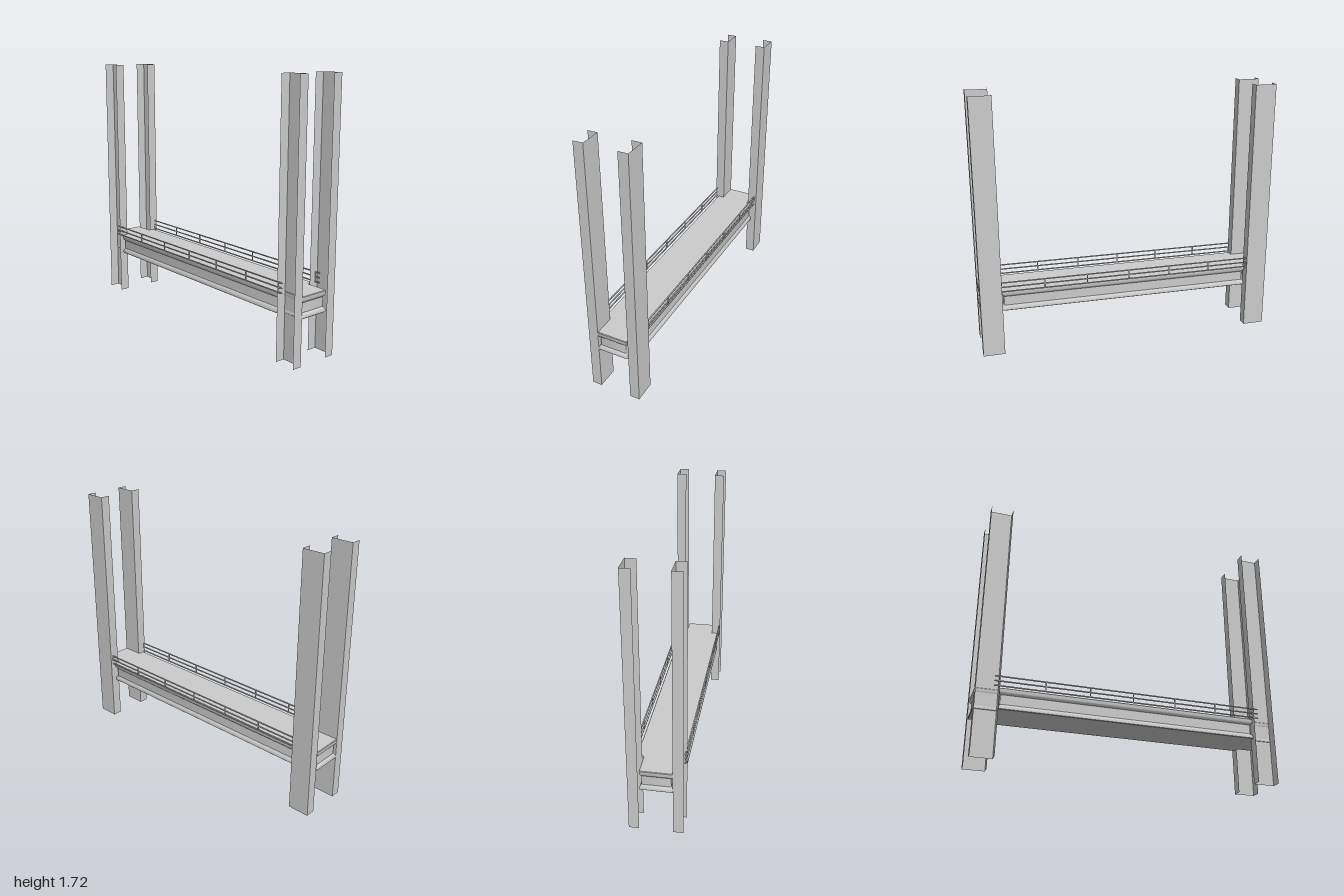
import * as THREE from 'three';
import { toCreasedNormals } from 'three/addons/utils/BufferGeometryUtils.js';

const grey = new THREE.MeshStandardMaterial({ color: 0xcccccc });
const sheet = new THREE.MeshStandardMaterial({ color: 0xcccccc, side: THREE.DoubleSide });

function addMesh(parent, name, geometry, material, x = 0, y = 0, z = 0) {
  const mesh = new THREE.Mesh(geometry, material);
  mesh.name = name;
  mesh.position.set(x, y, z);
  parent.add(mesh);
}

// Plan outline of the deck: wide body with a narrower tongue at each end
function deckOutline(inset) {
  const wide = 0.145 - inset, narrow = 0.103 - inset;
  const step = 0.855 - inset, end = 1 - inset;
  const quarter = [];
  const corner = (x, z, r) => {
    for (let i = 0; i <= 3; i++) {
      const a = (i / 3) * Math.PI / 2;
      quarter.push([x - r + r * Math.cos(a), z - r + r * Math.sin(a)]);
    }
  };
  corner(wide, step, 0.012);
  quarter.push([narrow, step]);
  corner(narrow, end, 0.005);
  const flipped = quarter.slice().reverse();
  return [
    ...quarter,
    ...flipped.map(([x, z]) => [-x, z]),
    ...quarter.map(([x, z]) => [-x, -z]),
    ...flipped.map(([x, z]) => [x, -z]),
  ].map(([x, z]) => new THREE.Vector2(x, z));
}

// Stack outlines at [height, inset] levels, then cap both ends
function deckGeometry(levels) {
  const loops = levels.map(([, inset]) => deckOutline(inset));
  const n = loops[0].length, positions = [], index = [];
  loops.forEach((loop, k) => loop.forEach((p) => positions.push(p.x, levels[k][0], p.y)));
  for (let k = 0; k < loops.length - 1; k++) {
    for (let i = 0; i < n; i++) {
      const a = k * n + i, b = k * n + (i + 1) % n;
      index.push(a, a + n, b, b, a + n, b + n);
    }
  }
  const top = (loops.length - 1) * n;
  for (const [a, b, c] of THREE.ShapeUtils.triangulateShape(loops[0], [])) {
    index.push(a, b, c);
  }
  for (const [a, b, c] of THREE.ShapeUtils.triangulateShape(loops[loops.length - 1], [])) {
    index.push(top + a, top + c, top + b);
  }
  const geometry = new THREE.BufferGeometry();
  geometry.setAttribute('position', new THREE.Float32BufferAttribute(positions, 3));
  geometry.setIndex(index);
  return toCreasedNormals(geometry, 0.6);
}

export function createModel() {
  const model = new THREE.Group();
  model.name = 'liftBeam';

  // Four thin channel columns, all open towards the right
  const H = 1.72, flange = 0.065, depth = 0.143;
  for (const x of [-0.107, 0.17]) {
    for (const z of [-0.9285, 0.9285]) {
      const column = new THREE.Group();
      column.name = 'channelColumn';
      column.position.set(x, H / 2, z);
      addMesh(column, 'columnWeb', new THREE.PlaneGeometry(depth, H).rotateY(Math.PI / 2), sheet);
      for (const s of [-1, 1]) {
        addMesh(column, 'columnFlange', new THREE.PlaneGeometry(flange, H), sheet,
          -flange / 2, 0, s * depth / 2);
      }
      model.add(column);
    }
  }

  // Crossbeam with lips above and below a shallow recessed side
  const levels = [
    [0.298, 0.003], [0.301, 0], [0.313, 0], [0.322, 0.003], [0.333, 0.012],
    [0.395, 0.012], [0.405, 0.003], [0.412, 0], [0.432, 0], [0.436, 0.003],
  ];
  addMesh(model, 'crossbeam', deckGeometry(levels), grey, -0.006);

  // Three-bar guard rails along both long sides
  const t = 0.008;
  for (const x of [-0.165, 0.153]) {
    const rail = new THREE.Group();
    rail.name = 'guardRail';
    rail.position.x = x;
    for (const y of [0.441, 0.472, 0.503]) {
      addMesh(rail, 'railBar', new THREE.BoxGeometry(t, t * 0.8, 1.78), grey, 0, y, 0);
    }
    for (let i = -3; i <= 3; i++) {
      addMesh(rail, 'railStanchion', new THREE.BoxGeometry(t * 0.8, 0.064, t * 0.8), grey,
        0, 0.472, i * 0.286);
    }
    model.add(rail);
  }
  return model;
}
